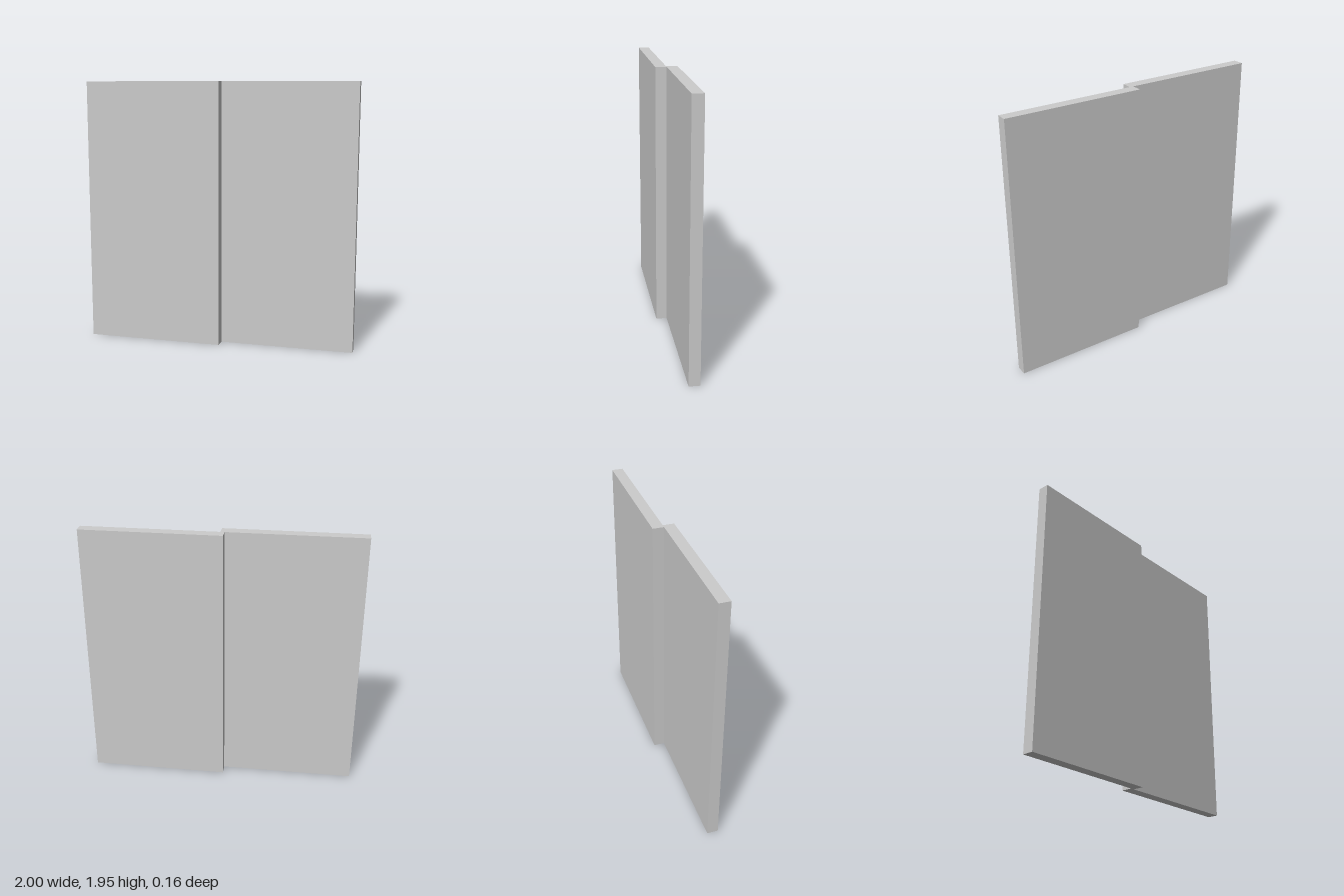
import * as THREE from 'three';

const HEIGHT = 1.95;
const THICKNESS = 0.08;
const OVERLAP = 0.014; // how far each panel reaches past the centre line

export function createModel() {
  const group = new THREE.Group();
  group.name = 'slidingPanels';
  const material = new THREE.MeshStandardMaterial({ color: 0xcccccc, flatShading: true });
  const width = 1 + OVERLAP;

  // Two flat panels on neighbouring tracks, overlapping at the middle
  const addPanel = (name, side) => {
    const panel = new THREE.Mesh(new THREE.BoxGeometry(width, HEIGHT, THICKNESS), material);
    panel.name = name;
    panel.position.set(side * (1 - width / 2), HEIGHT / 2, -side * THICKNESS / 2);
    group.add(panel);
  };
  addPanel('frontRightPanel', -1);
  addPanel('backLeftPanel', 1);

  return group;
}
